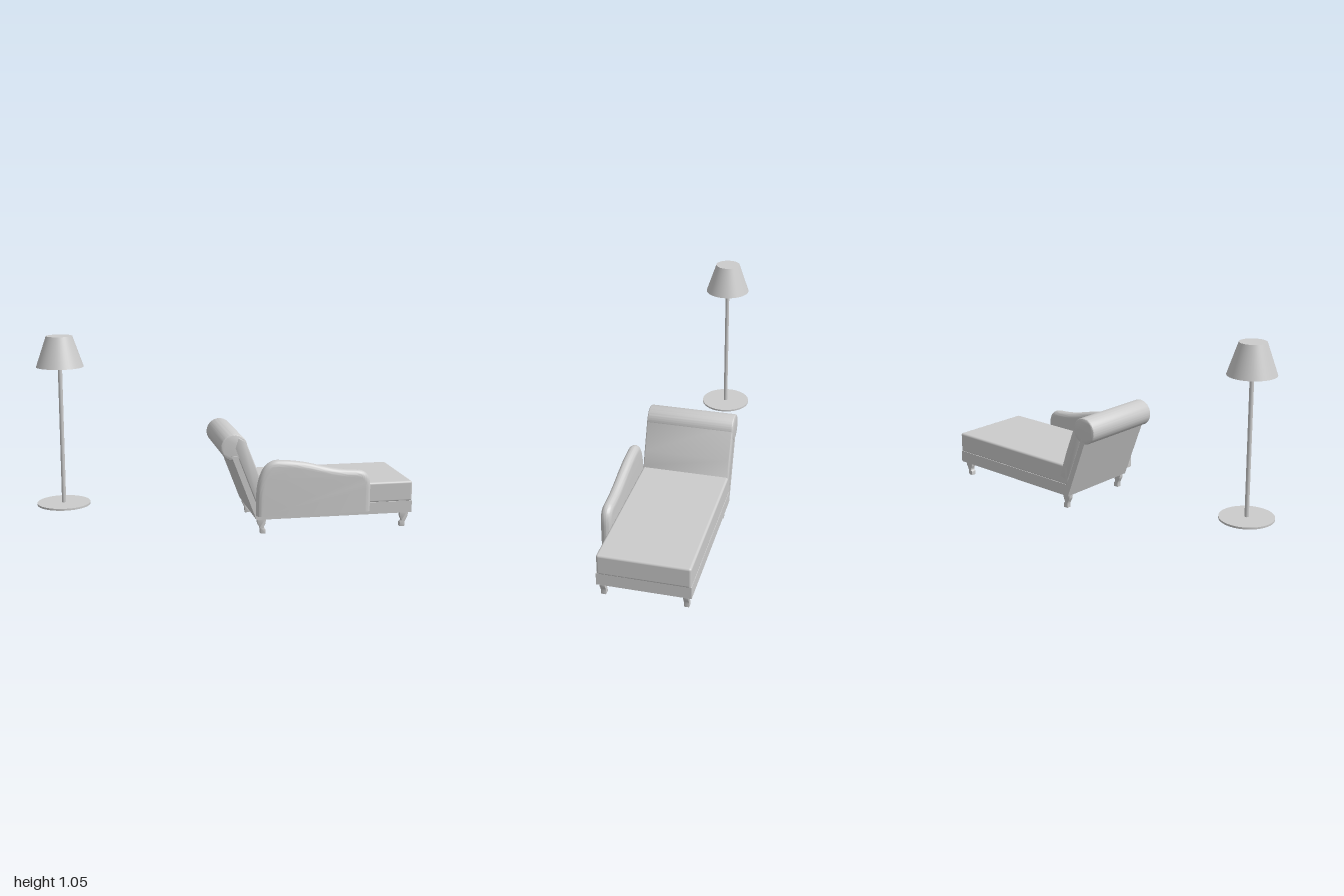
import * as THREE from 'three';
import { toCreasedNormals } from 'three/addons/utils/BufferGeometryUtils.js';
import { RoundedBoxGeometry } from 'three/addons/geometries/RoundedBoxGeometry.js';

const grey = new THREE.MeshStandardMaterial({ color: 0xcccccc });
const greyThin = new THREE.MeshStandardMaterial({ color: 0xcccccc, side: THREE.DoubleSide });

function add(parent, name, geometry, x = 0, y = 0, z = 0, material = grey) {
  const mesh = new THREE.Mesh(geometry, material);
  mesh.name = name;
  mesh.position.set(x, y, z);
  parent.add(mesh);
  return mesh;
}

const polygon = (pts) => new THREE.Shape(pts.map(([x, y]) => new THREE.Vector2(x, y)));

// Side profile pushed through from z0 to z1, edges rounded inside the outline
function slab(shape, z0, z1, round = 0, depthRound = round, segments = 4) {
  const g = new THREE.ExtrudeGeometry(shape, {
    depth: z1 - z0 - 2 * depthRound, curveSegments: 10,
    bevelEnabled: round > 0, bevelSize: round, bevelThickness: depthRound,
    bevelOffset: -round, bevelSegments: segments,
  });
  g.translate(0, 0, z0 + depthRound);
  return toCreasedNormals(g, 0.6);
}

function createLamp() {
  const lamp = new THREE.Group();
  lamp.name = 'floorLamp';
  lamp.position.set(-0.86, 0, -0.03);
  add(lamp, 'lampBase', new THREE.CylinderGeometry(0.14, 0.14, 0.01, 48), 0, 0.159);
  add(lamp, 'lampPole', new THREE.CylinderGeometry(0.011, 0.011, 0.885, 20), 0, 0.605);
  add(lamp, 'lampShade', new THREE.CylinderGeometry(0.068, 0.123, 0.16, 48, 1, true), 0, 0.97, 0, greyThin);
  const cap = add(lamp, 'lampShadeTop', new THREE.CircleGeometry(0.068, 48), 0, 1.05, 0, greyThin);
  cap.rotation.x = -Math.PI / 2;
  return lamp;
}

// Scrolled leg, foot pointing towards +x
function legShape() {
  const s = new THREE.Shape();
  s.moveTo(-0.024, 0.085);
  s.lineTo(0.022, 0.085);
  s.lineTo(0.022, 0.066);
  s.bezierCurveTo(0.022, 0.05, 0.01, 0.042, 0.012, 0.03);
  s.quadraticCurveTo(0.021, 0.026, 0.021, 0.018);
  s.lineTo(0.021, 0);
  s.lineTo(-0.006, 0);
  s.lineTo(-0.007, 0.016);
  s.bezierCurveTo(-0.007, 0.04, -0.022, 0.046, -0.024, 0.066);
  return s;
}

// Low side arm with a wavy top; its underside is cut flat
function armGeometry() {
  const s = new THREE.Shape();
  s.moveTo(0.128, 0.08);
  s.lineTo(0.748, 0.08);
  s.lineTo(0.748, 0.24);
  s.bezierCurveTo(0.748, 0.31, 0.72, 0.338, 0.665, 0.34);
  s.bezierCurveTo(0.49, 0.345, 0.44, 0.4, 0.24, 0.409);
  s.bezierCurveTo(0.16, 0.41, 0.128, 0.31, 0.128, 0.2);
  const g = slab(s, 0.209, 0.266, 0.032, 0.026, 8);
  const p = g.attributes.position;
  for (let i = 0; i < p.count; i++) p.setY(i, Math.max(p.getY(i), 0.112));
  return toCreasedNormals(g, 0.6);
}

function createChaise() {
  const chaise = new THREE.Group();
  chaise.name = 'chaiseLongue';

  // Base frame with the raked back board
  add(chaise, 'frame', slab(polygon([
    [0.137, 0.08], [0.997, 0.08], [0.997, 0.145], [0.145, 0.145], [0.035, 0.43], [0.003, 0.43],
  ]), -0.265, 0.208));

  // Seat and back cushions
  add(chaise, 'seatCushion', new RoundedBoxGeometry(0.87, 0.112, 0.468, 4, 0.012), 0.565, 0.197, -0.03);
  add(chaise, 'backCushion', slab(polygon([
    [0.14, 0.165], [0.2, 0.18], [0.172, 0.262], [0.145, 0.34], [0.078, 0.51], [0.04, 0.53], [0.02, 0.47],
  ]), -0.264, 0.204, 0.008));

  // Rolled head of the backrest
  const roll = new THREE.Shape();
  roll.absarc(0.018, 0.474, 0.071, 0, Math.PI * 2);
  const rollGeometry = new THREE.ExtrudeGeometry(roll, {
    depth: 0.452, curveSegments: 40, bevelSize: 0.008, bevelThickness: 0.008, bevelOffset: -0.008, bevelSegments: 4,
  });
  rollGeometry.translate(0, 0, -0.257);
  add(chaise, 'headRoll', toCreasedNormals(rollGeometry, 0.6));

  add(chaise, 'sideArm', armGeometry());

  // Four legs, the far pair mirrored
  const leg = slab(legShape(), -0.0135, 0.0135, 0.002, 0.002, 2);
  const mirrored = slab(new THREE.Shape(legShape().getPoints(8).map((p) => new THREE.Vector2(-p.x, p.y))),
    -0.0135, 0.0135, 0.002, 0.002, 2);
  for (const z of [0.184, -0.232]) {
    add(chaise, 'headLeg', leg, 0.168, 0, z);
    add(chaise, 'footLeg', mirrored, 0.957, 0, z);
  }
  return chaise;
}

export function createModel() {
  const model = new THREE.Group();
  model.name = 'chaiseAndLamp';
  model.add(createLamp(), createChaise());
  return model;
}
